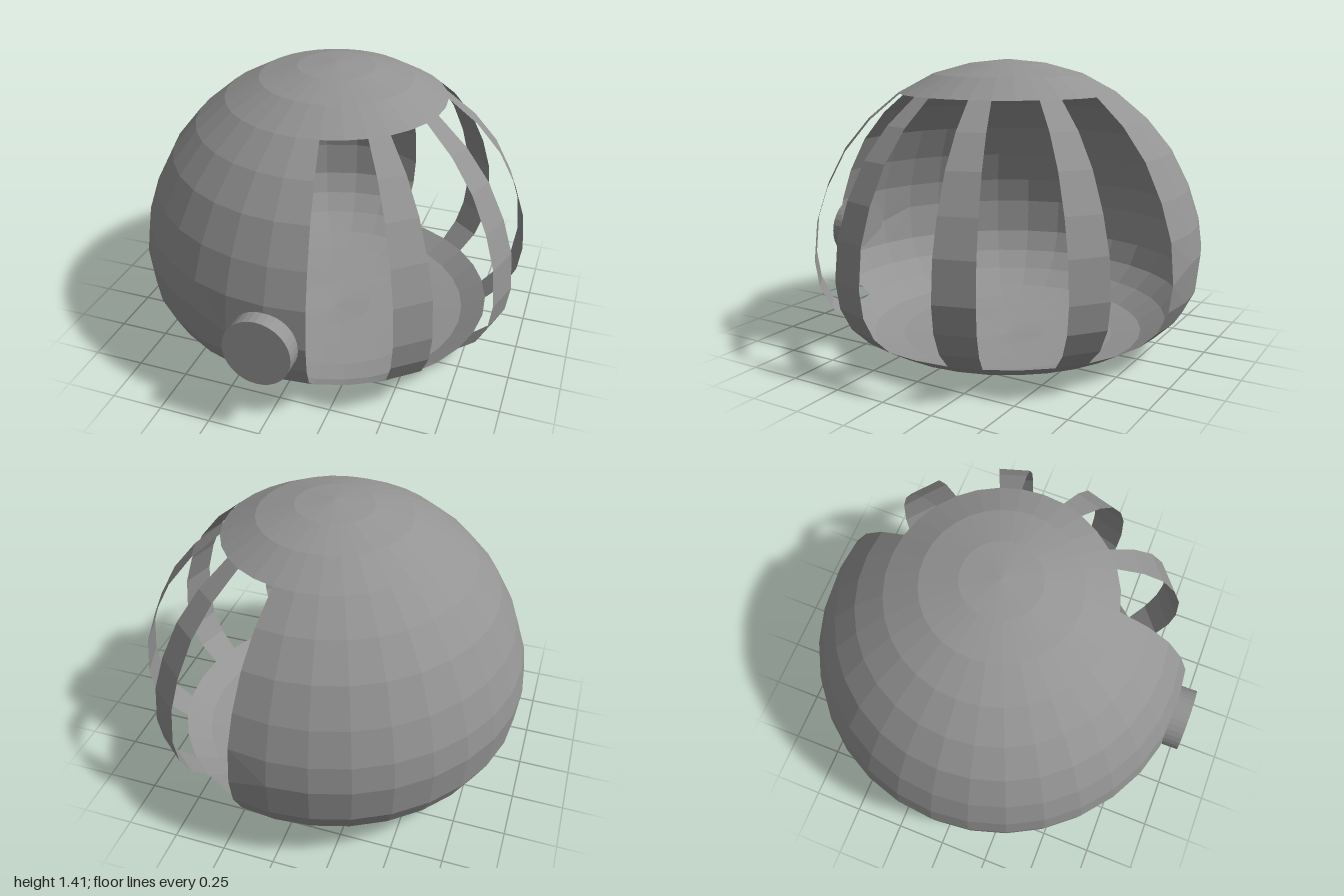
import * as THREE from 'three';

const COLS = 32, STEP = (Math.PI * 2) / COLS;
const RADIUS = 0.962, CENTRE_X = 0.009, CENTRE_Z = -0.038;
// ring heights from the base pole to the top pole
const HEIGHTS = [0, 0.014, 0.018, 0.027, 0.056, 0.128, 0.215, 0.325, 0.51,
  0.645, 0.81, 0.982, 1.128, 1.25, 1.34, 1.39, 1.41];
const ROWS = HEIGHTS.length - 1;
const OPEN_LOW = 5, OPEN_HIGH = 13, WIDEST = 8;

// point on the dome; the widest ring sits a little lower around the open side
function domePoint(row, col) {
  const a = col * STEP, r = RADIUS * Math.sin((row * Math.PI) / ROWS);
  const x = r * Math.cos(a), z = r * Math.sin(a);
  const lowered = row === WIDEST && x > (z > 0 ? -0.25 : 0.1);
  return [x + CENTRE_X, HEIGHTS[row] - (lowered ? 0.055 : 0), z + CENTRE_Z];
}

// patch of the dome between two rings and two meridians
function patch(name, row0, row1, col0, col1, material) {
  const pos = [];
  for (let i = row0; i < row1; i++) {
    for (let j = col0; j < col1; j++) {
      const a = domePoint(i, j), b = domePoint(i + 1, j);
      const c = domePoint(i + 1, j + 1), d = domePoint(i, j + 1);
      // single triangles at the poles
      if (i < ROWS - 1) pos.push(...a, ...b, ...c);
      if (i > 0) pos.push(...a, ...c, ...d);
    }
  }
  const geometry = new THREE.BufferGeometry();
  geometry.setAttribute('position', new THREE.Float32BufferAttribute(pos, 3));
  geometry.computeVertexNormals();
  const mesh = new THREE.Mesh(geometry, material);
  mesh.name = name;
  return mesh;
}

export function createModel() {
  const group = new THREE.Group();
  group.name = 'cagedDome';
  const grey = new THREE.MeshStandardMaterial({
    color: 0x949494, flatShading: true, side: THREE.DoubleSide });

  // closed base, cap and back wall
  group.add(patch('base', 0, OPEN_LOW, 0, COLS, grey));
  group.add(patch('cap', OPEN_HIGH, ROWS, 0, COLS, grey));
  group.add(patch('wall', OPEN_LOW, OPEN_HIGH, 7, 25, grey));

  // four curved bars across the open side
  for (const col of [-5, -2, 1, 4]) {
    group.add(patch('bar', OPEN_LOW, OPEN_HIGH, col, col + 1, grey));
  }

  // round button on the front, tipped slightly upwards
  const button = new THREE.Mesh(new THREE.CylinderGeometry(0.16, 0.16, 0.09, 32), grey);
  button.name = 'button';
  button.rotation.x = Math.PI / 2 - 0.05;
  button.position.set(0.003, 0.453, 0.947);
  group.add(button);

  return group;
}
